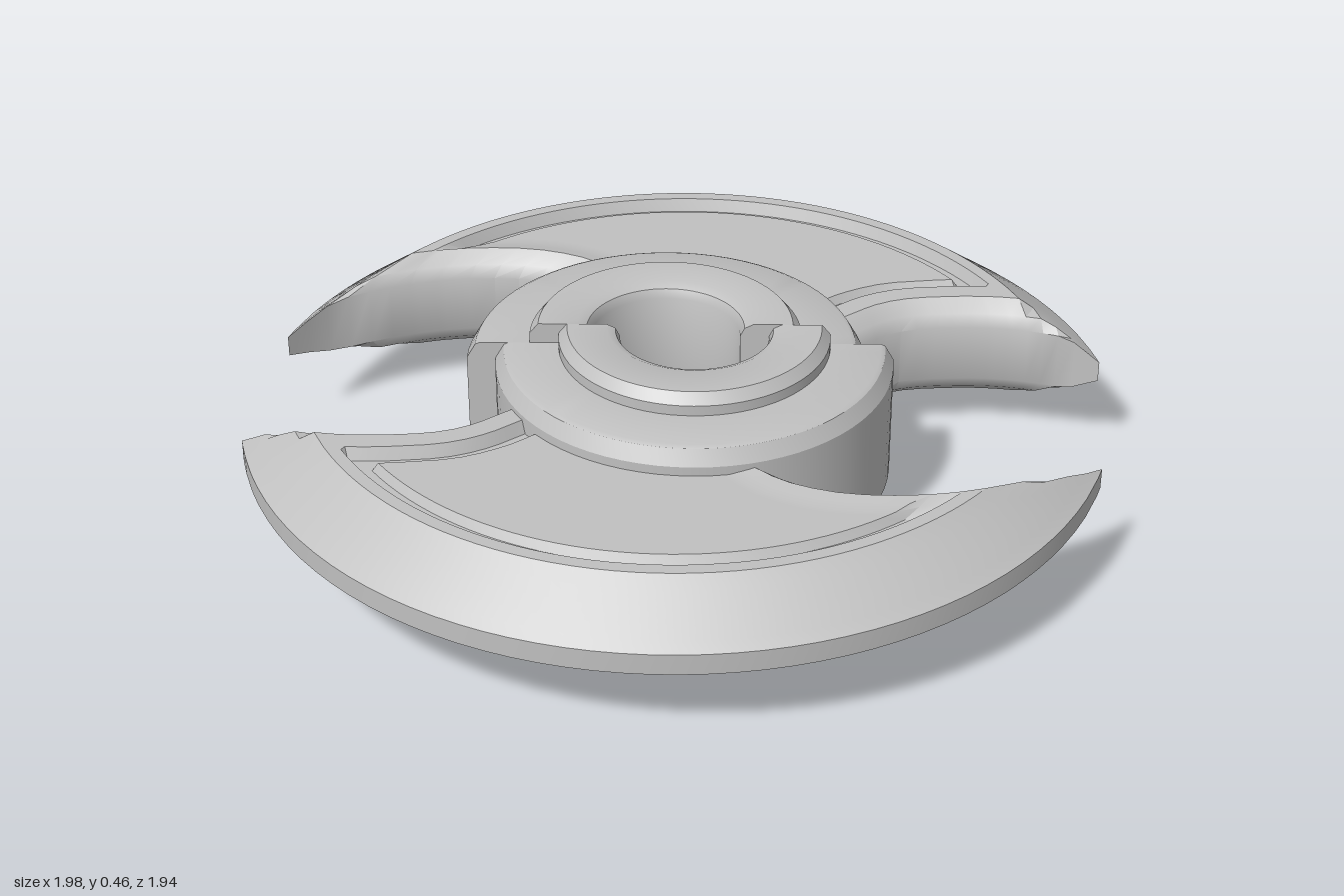
import * as THREE from 'three';
import { toCreasedNormals } from 'three/addons/utils/BufferGeometryUtils.js';

const MID = 0.23; // height of the blade's middle plane
const CENTRE = { x: 0.01, z: 0.03 }; // centre of the blade's outer arc

// piecewise linear ramp through [position, value] pairs
function ramp(t, pts) {
  if (t <= pts[0][0]) return pts[0][1];
  for (let i = 1; i < pts.length; i++) {
    const [a, va] = pts[i - 1], [b, vb] = pts[i];
    if (t <= b) return va + (vb - va) * (t - a) / (b - a);
  }
  return pts[pts.length - 1][1];
}

// smooth edge curve: angle (degrees in, radians out) as a function of radius
function edgeCurve(radii, degrees) {
  const curve = new THREE.CubicInterpolant(radii, degrees, 1);
  const angle = (r) => THREE.MathUtils.degToRad(curve.evaluate(r)[0]);
  // converts a distance from the edge into an angle step
  const step = (r, d) => {
    const slope = (angle(Math.min(r + 0.01, 1)) - angle(r - 0.01)) / (Math.min(r + 0.01, 1) - r + 0.01);
    return d * Math.hypot(1, r * slope) / r;
  };
  return { angle, step };
}

const rightEdge = edgeCurve([0.36, 0.456, 0.557, 0.703, 0.882, 1], [24, 26.5, 28.2, 24.4, 17.8, 12]);
const leftEdge = edgeCurve([0.36, 0.45, 0.479, 0.546, 0.628, 0.728, 0.857, 0.95, 1],
  [111, 114, 116, 119.4, 125.5, 134.5, 146.5, 155.5, 162]);

// half thickness of the blade: sharpened rim, rounded inner edges, grooved panel
function halfThickness(r, dRight, dLeft) {
  const outer = ramp(1 - r, [[0, 0.025], [0.14, 0.128]]);
  const inner = ramp(Math.min(dRight, dLeft), [[0, 0.07], [0.015, 0.1], [0.05, 0.128]]);
  const inset = Math.min(0.83 - r, dRight - 0.1);
  const groove = ramp(inset, [[0, 0], [0.012, 0.03], [0.04, 0.03], [0.052, 0.01]]);
  return Math.min(outer, inner) - groove * ramp(dLeft, [[0.05, 0], [0.1, 1]]);
}

function bladeGeometry() {
  const rows = [0.36, 0.41, 0.45, 0.48, 0.51, 0.54, 0.58, 0.62, 0.66, 0.7, 0.74, 0.778, 0.79,
    0.818, 0.83, 0.86, 0.89, 0.92, 0.95, 0.975, 1];
  const rightSteps = [0, 0.015, 0.05, 0.1, 0.112, 0.14, 0.152];
  const leftSteps = [0.12, 0.1, 0.075, 0.05, 0.015, 0];
  const middle = 36;
  const pos = [], index = [];
  let loop = 0;

  // one closed cross-section per radius: along the top, back along the bottom
  for (const r of rows) {
    const a0 = rightEdge.angle(r), a1 = leftEdge.angle(r);
    const cols = rightSteps.map((d) => ({ a: a0 + rightEdge.step(r, d), dr: d, dl: 1 }));
    const from = cols[cols.length - 1].a, to = a1 - leftEdge.step(r, leftSteps[0]);
    for (let k = 1; k < middle; k++) cols.push({ a: from + (to - from) * k / middle, dr: 1, dl: 1 });
    for (const d of leftSteps) cols.push({ a: a1 - leftEdge.step(r, d), dr: 1, dl: d });
    const top = cols.map(({ a, dr, dl }) => [
      CENTRE.x + r * Math.cos(a), halfThickness(r, dr, dl), CENTRE.z - r * Math.sin(a)]);
    for (const [x, h, z] of top) pos.push(x, MID + h, z);
    for (const [x, h, z] of [...top].reverse()) pos.push(x, MID - h, z);
    loop = top.length * 2;
  }
  for (let i = 0; i < rows.length - 1; i++) {
    for (let j = 0; j < loop; j++) {
      const a = i * loop + j, d = i * loop + (j + 1) % loop;
      index.push(a, a + loop, d + loop, a, d + loop, d);
    }
  }
  // narrow outer rim
  const last = (rows.length - 1) * loop;
  for (let j = 0; j < loop / 2 - 1; j++) {
    const t0 = last + j, t1 = t0 + 1, b0 = last + loop - 1 - j, b1 = b0 - 1;
    index.push(b0, b1, t1, b0, t1, t0);
  }
  const geo = new THREE.BufferGeometry();
  geo.setAttribute('position', new THREE.Float32BufferAttribute(pos, 3));
  geo.setIndex(index);
  return toCreasedNormals(geo, 0.5);
}

// stepped ring profile, mirrored about the middle plane
function hubProfile() {
  const upper = [[0.455, 0.37], [0.435, 0.405], [0.425, 0.41], [0.31, 0.41], [0.31, 0.435],
    [0.29, 0.46], [0.2, 0.46], [0.18, 0.45], [0.17, 0.43]];
  const lower = upper.map(([r, y]) => [r, 0.465 - y - 0.005 + 0.005]).reverse();
  lower.forEach((p) => { if (p[1] < 0.01) p[1] = 0; });
  return [...lower, ...upper, lower[0]].map(([r, y]) => new THREE.Vector2(r, y));
}

export function createModel() {
  const model = new THREE.Group();
  model.name = 'twinBladeDisc';
  const grey = new THREE.MeshStandardMaterial({ color: 0xc0c0c0 });
  grey.name = 'lightGrey';

  const profile = hubProfile();
  const hubGeo = toCreasedNormals(new THREE.LatheGeometry(profile, 36, Math.PI / 2, Math.PI), 0.5);
  const capGeo = new THREE.ShapeGeometry(new THREE.Shape(profile.slice(0, -1)));
  const bladeGeo = bladeGeometry();

  // two identical halves, slipped sideways along the split
  for (const name of ['backHalf', 'frontHalf']) {
    const half = new THREE.Group();
    half.name = name;
    const add = (geo, part, x) => {
      const mesh = new THREE.Mesh(geo, grey);
      mesh.name = part;
      mesh.position.x = x;
      half.add(mesh);
      return mesh;
    };
    add(bladeGeo, 'blade', 0);
    add(hubGeo, 'hubHalf', -0.033);
    // flat faces of the split, one on each side of the hole
    add(capGeo, 'splitFaceRight', -0.033);
    const leftFace = capGeo.clone().scale(-1, 1, 1);
    const ix = leftFace.index.array;
    for (let i = 0; i < ix.length; i += 3) [ix[i], ix[i + 1]] = [ix[i + 1], ix[i]];
    leftFace.computeVertexNormals();
    add(leftFace, 'splitFaceLeft', -0.033);
    if (name === 'frontHalf') half.rotation.y = Math.PI;
    model.add(half);
  }
  return model;
}
